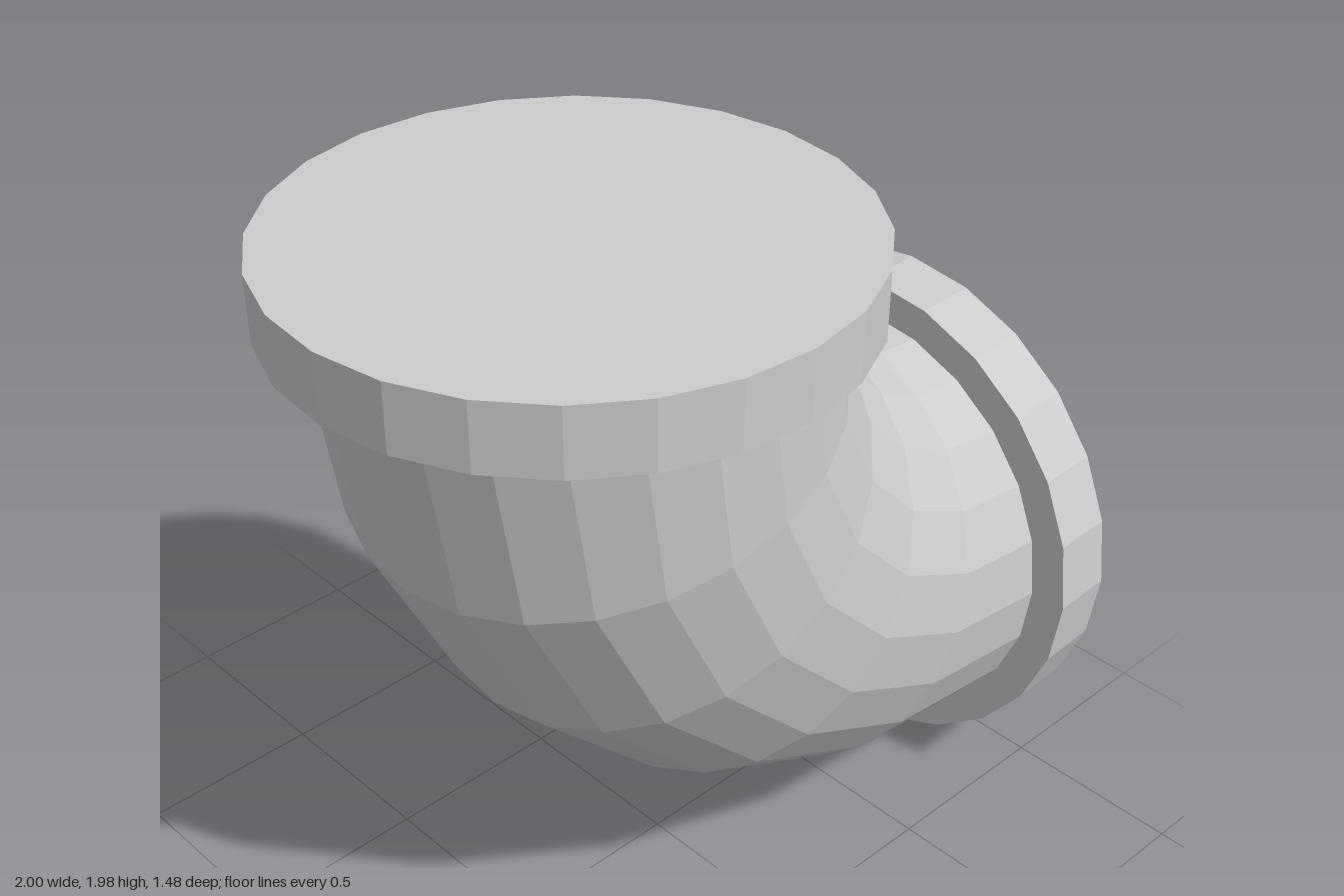
import * as THREE from 'three';

const SIDES = 24;
const BEND = 1.085; // centreline radius of the bend
const PIPE = 0.615;
const FLANGE = 0.715;
const THICK = 0.175;
const TOP = 1.8; // height where the bend meets the upper flange

export function createModel() {
  const material = new THREE.MeshStandardMaterial({ color: 0xcccccc, flatShading: true });
  const elbow = new THREE.Group();
  elbow.name = 'pipeElbow';

  const add = (name, geometry, x, y) => {
    const mesh = new THREE.Mesh(geometry, material);
    mesh.name = name;
    mesh.position.set(x, y, 0);
    elbow.add(mesh);
    return mesh;
  };

  // Quarter-turn pipe, from the upper flange down and round to the side flange
  const bend = new THREE.TorusGeometry(BEND, PIPE, SIDES, 5, Math.PI / 2);
  bend.rotateZ(Math.PI);
  add('bend', bend, BEND, TOP);

  // Solid disc flanges closing both ends
  const disc = new THREE.CylinderGeometry(FLANGE, FLANGE, THICK, SIDES);
  add('upperFlange', disc, 0, TOP + THICK / 2);
  add('sideFlange', disc, BEND + THICK / 2 - 0.004, FLANGE).rotation.z = -Math.PI / 2;

  // The whole elbow is turned slightly about the vertical
  elbow.position.set(-0.285, 0, 0.02);
  elbow.rotation.y = 0.041;

  const model = new THREE.Group();
  model.name = 'model';
  model.add(elbow);
  return model;
}
